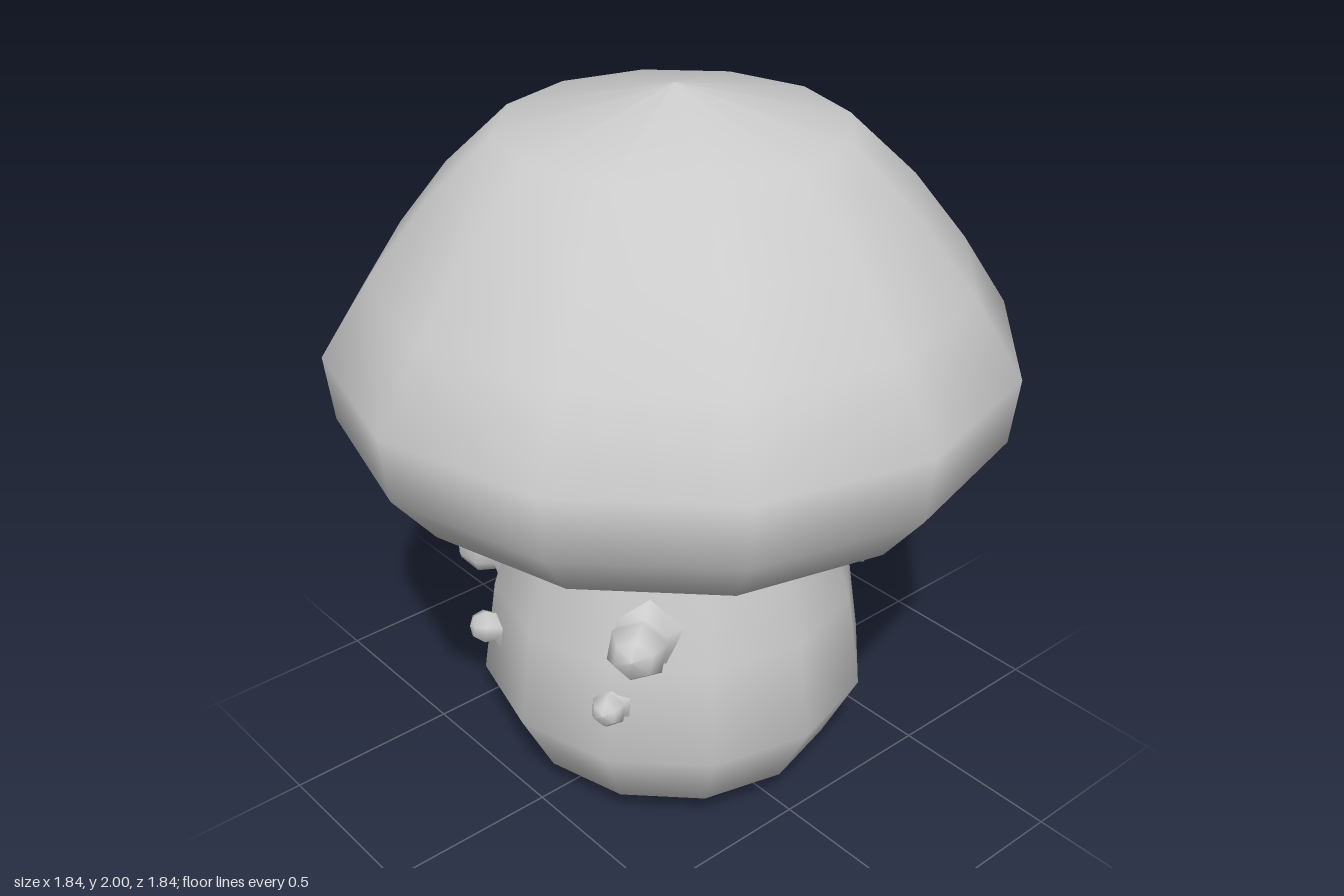
import * as THREE from 'three';

const SIDES = 12;

function lathe(name, points, sides, material) {
  const profile = points.map(([r, y]) => new THREE.Vector2(r, y));
  const mesh = new THREE.Mesh(new THREE.LatheGeometry(profile, sides), material);
  mesh.name = name;
  return mesh;
}

export function createModel() {
  const group = new THREE.Group();
  group.name = 'mushroom';
  const material = new THREE.MeshStandardMaterial({ color: 0xcccccc });

  // Rounded stem, widest low down
  group.add(lathe('stem', [
    [0, 0], [0.34, 0.015], [0.455, 0.1], [0.555, 0.3],
    [0.515, 0.58], [0.45, 0.8], [0.41, 0.99], [0.44, 1.03],
  ], SIDES, material));

  // Domed cap with a nearly flat underside
  group.add(lathe('cap', [
    [0.36, 1.03], [0.6, 1.02], [0.78, 1.0], [0.9, 1.15], [0.92, 1.33],
    [0.79, 1.53], [0.64, 1.72], [0.455, 1.895], [0, 2],
  ], SIDES, material));

  // Knobs growing out of the stem: x, y, z of the bulb and its radius
  const knobs = [
    [0.44, 0.63, 0.28, 0.085], [-0.41, 0.66, 0.33, 0.085],
    [0.28, 0.64, -0.43, 0.07], [-0.38, 0.63, -0.39, 0.09],
    [0.53, 0.45, 0.13, 0.055], [-0.47, 0.47, 0.28, 0.05],
    [0.17, 0.46, -0.53, 0.055], [-0.18, 0.45, -0.52, 0.055],
    [-0.49, 0.46, -0.25, 0.05],
  ];
  const up = new THREE.Vector3(0, 1, 0);
  for (const [x, y, z, r] of knobs) {
    // Flared root, narrow neck, faceted bulb
    const knob = lathe('stemKnob', [
      [1.8, -1.0], [0.85, -0.45], [1.0, 0.1], [0.65, 0.7], [0, 0.9],
    ].map(([a, b]) => [a * r, b * r]), 6, material);
    knob.position.set(x, y, z);
    knob.quaternion.setFromUnitVectors(up, new THREE.Vector3(x, 0.08, z).normalize());
    group.add(knob);
  }
  return group;
}
